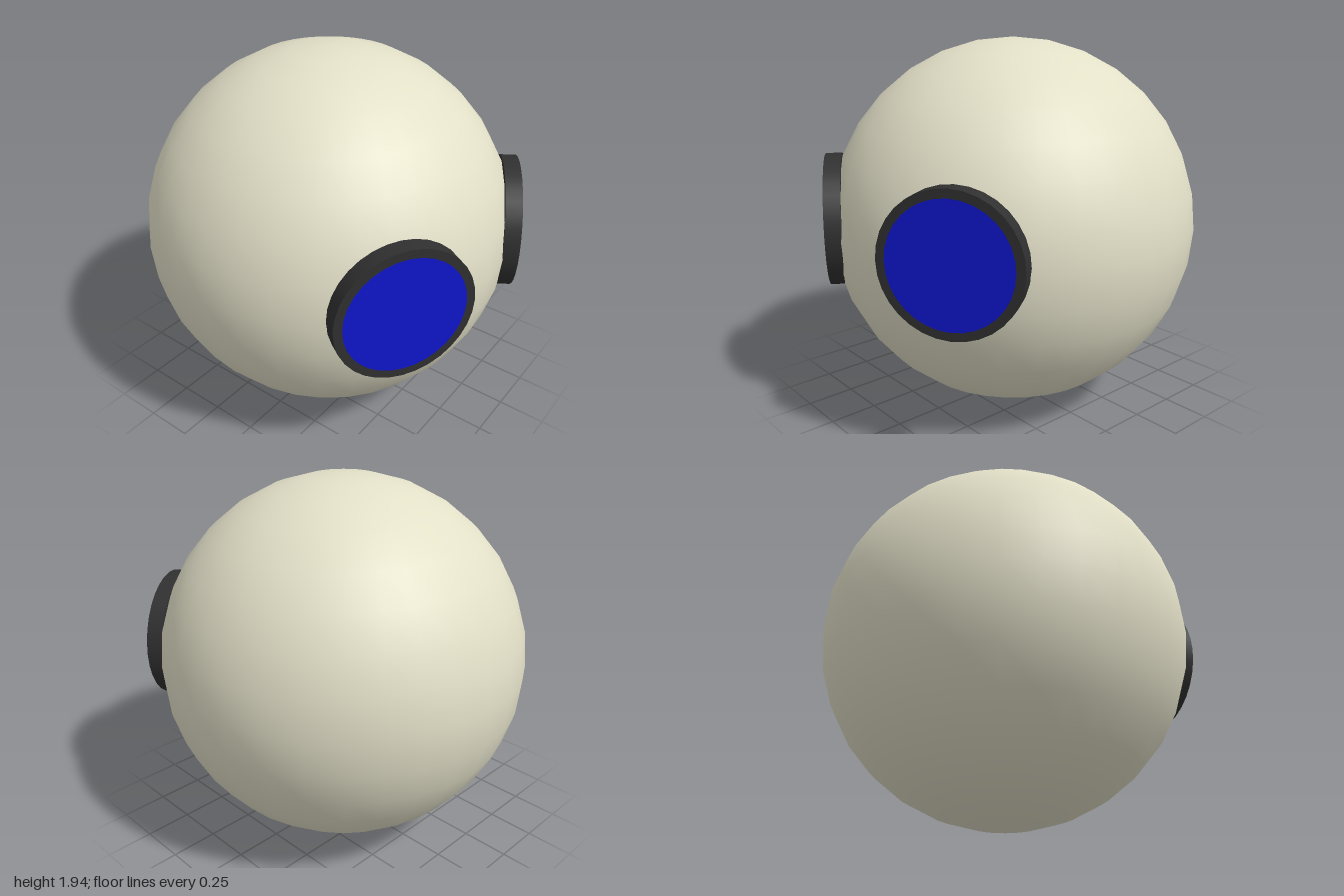
import * as THREE from 'three';

const RADIUS = 0.97;
const CENTER = new THREE.Vector3(0, RADIUS, -0.03);
const EYE_ANGLE = THREE.MathUtils.degToRad(32.3);

export function createModel() {
  const model = new THREE.Group();
  model.name = 'roundHead';

  const paint = (color) => new THREE.MeshStandardMaterial({ color });
  const cream = paint(0xe3e0c8);
  const black = paint(0x303030);
  const blue = paint(0x0f16cc);

  const add = (parent, name, geometry, material) => {
    const mesh = new THREE.Mesh(geometry, material);
    mesh.name = name;
    parent.add(mesh);
    return mesh;
  };

  // Ball-shaped head
  add(model, 'head', new THREE.SphereGeometry(RADIUS, 32, 16), cream).position.copy(CENTER);

  // Eye parts, facing +z: a shallow drum with a coloured disc on its face
  const rimGeometry = new THREE.CylinderGeometry(0.347, 0.347, 0.085, 32).rotateX(Math.PI / 2);
  const lensGeometry = new THREE.CircleGeometry(0.304, 32);

  // Each eye sits radially on the head, turned outward
  for (const [name, side] of [['leftEye', 1], ['rightEye', -1]]) {
    const eye = new THREE.Group();
    eye.name = name;
    eye.position.copy(CENTER);
    eye.position.y = 1.005;
    eye.rotation.y = side * EYE_ANGLE;
    add(eye, 'eyeRim', rimGeometry, black).position.z = 0.942;
    add(eye, 'eyeLens', lensGeometry, blue).position.z = 0.987;
    model.add(eye);
  }

  return model;
}
